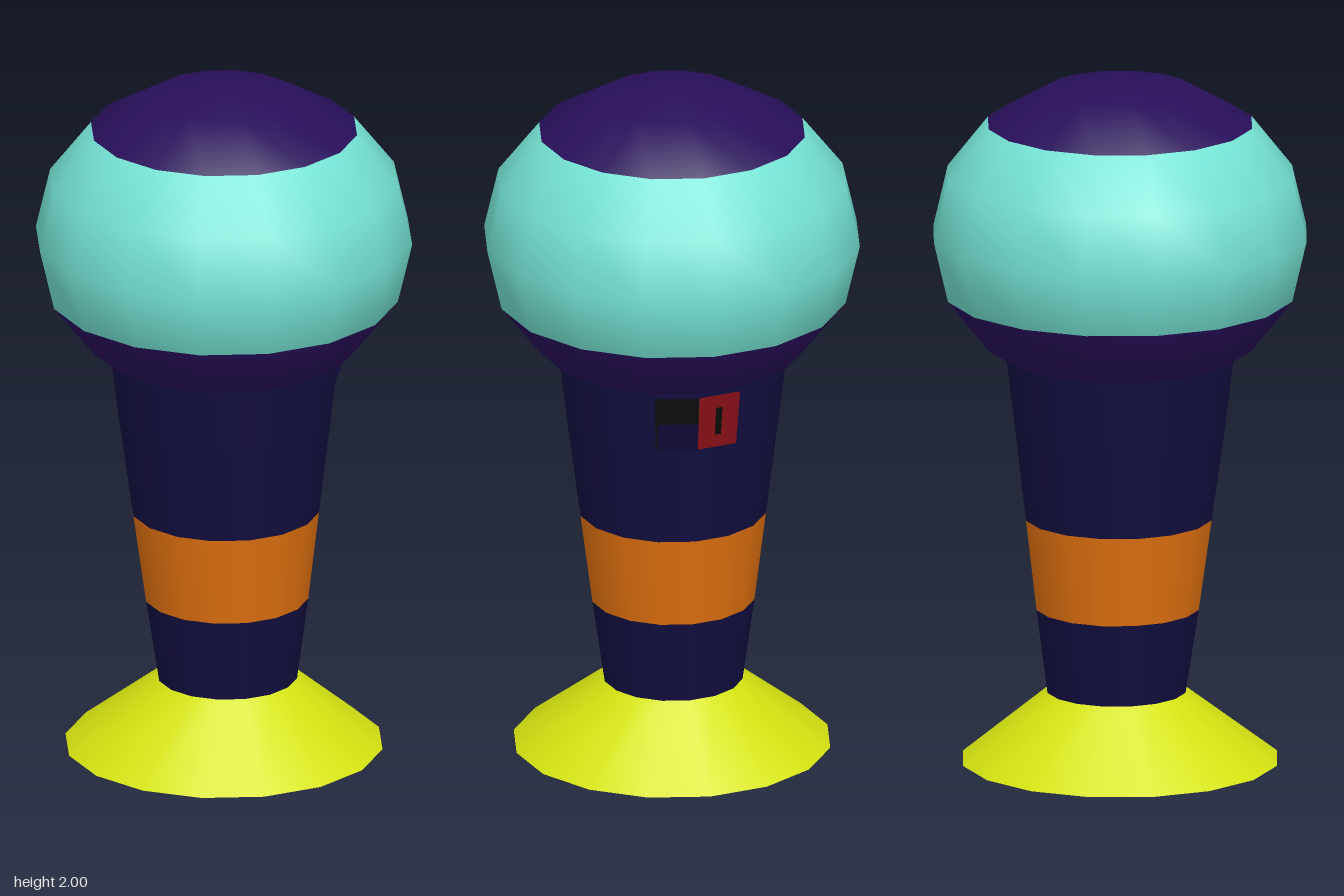
import * as THREE from 'three';

const SIDES = 16;
const STEP = (Math.PI * 2) / SIDES;
const mat = (color, side = THREE.FrontSide) => new THREE.MeshStandardMaterial({ color, side });
const NAVY = mat(0x120e40), PURPLE = mat(0x280f5a), TEAL = mat(0x74e2d3);
const ORANGE = mat(0xdf700f), YELLOW = mat(0xd4e210), RED = mat(0x8a1018);
const BLACK = mat(0x0c0c0a), HOLLOW = mat(0x0c0c0a, THREE.BackSide);
const FLAP = mat(0x120e40, THREE.DoubleSide);

export function createModel() {
  const model = new THREE.Group();
  model.name = 'microphoneFigure';

  function add(name, geometry, material, parent = model) {
    const mesh = new THREE.Mesh(geometry, material);
    mesh.name = name;
    parent.add(mesh);
    return mesh;
  }

  // One tapered ring between two heights; skips facets from thetaStart
  function ring(name, y0, r0, y1, r1, material, segs = SIDES, start = 0) {
    const g = new THREE.CylinderGeometry(r1, r0, y1 - y0, segs, 1, true, start, segs * STEP);
    g.translate(0, (y0 + y1) / 2, 0);
    // the narrow waist leans a little towards +x
    const p = g.attributes.position;
    for (let i = 0; i < p.count; i++) {
      const y = p.getY(i);
      const lean = y < 0.1 ? 0 : 0.012 * Math.max(0, (1 - y) / 0.8);
      p.setX(i, p.getX(i) + lean);
    }
    return add(name, g, material);
  }

  // Flared foot
  ring('foot', 0, 0.455, 0.2, 0.2, YELLOW);
  add('footUnderside', new THREE.CircleGeometry(0.455, SIDES).rotateX(Math.PI / 2), NAVY);

  // Handle, with one facet open and one painted on the +x side
  ring('lowerHandle', 0.2, 0.2, 0.445, 0.235, NAVY);
  ring('handleBand', 0.445, 0.235, 0.71, 0.269, ORANGE);
  ring('upperHandle', 0.71, 0.269, 1.005, 0.307, NAVY);
  ring('switchRing', 1.005, 0.307, 1.17, 0.327, NAVY, SIDES - 2, Math.PI / 2 + STEP);
  ring('switchPlate', 1.005, 0.307, 1.17, 0.327, RED, 1, Math.PI / 2);
  ring('handleCollar', 1.17, 0.327, 1.22, 0.332, NAVY);

  // Frame lying on a handle facet: local +z points outwards, y up the slope
  function facet(name, theta, y, apothem, tilt) {
    const turn = new THREE.Group();
    turn.name = name;
    turn.rotation.y = theta;
    const frame = new THREE.Group();
    frame.position.set(0, y, apothem);
    frame.rotation.x = tilt;
    turn.add(frame);
    model.add(turn);
    return frame;
  }

  // Slot in the red plate
  const slot = facet('plateSlot', Math.PI / 2 + STEP / 2, 1.0875, 0.311, 0.12);
  add('slot', new THREE.BoxGeometry(0.018, 0.085, 0.006), BLACK, slot);

  // Open compartment with its flap hinged at the bottom
  const hole = facet('compartment', Math.PI / 2 - STEP / 2, 1.0875, 0.311, 0.12);
  add('compartmentWalls', new THREE.BoxGeometry(0.122, 0.168, 0.08).translate(0, 0, -0.04), HOLLOW, hole);
  const hinge = facet('flapHinge', Math.PI / 2 - STEP / 2, 1.005, 0.301, 0.42);
  add('flap', new THREE.PlaneGeometry(0.116, 0.104).translate(0.002, 0.052, 0), FLAP, hinge);

  // Slightly flattened head in three bands
  function headBand(name, from, to, material) {
    const unit = Math.PI / 8;
    const g = new THREE.SphereGeometry(0.54, SIDES, to - from, 0, Math.PI * 2, from * unit, (to - from) * unit);
    g.scale(1, 0.46 / 0.54, 1).translate(0, 1.54, 0);
    add(name, g, material);
  }
  headBand('headCap', 0, 2, PURPLE);
  headBand('headMiddle', 2, 5, TEAL);
  headBand('headLower', 5, 8, PURPLE);

  return model;
}
